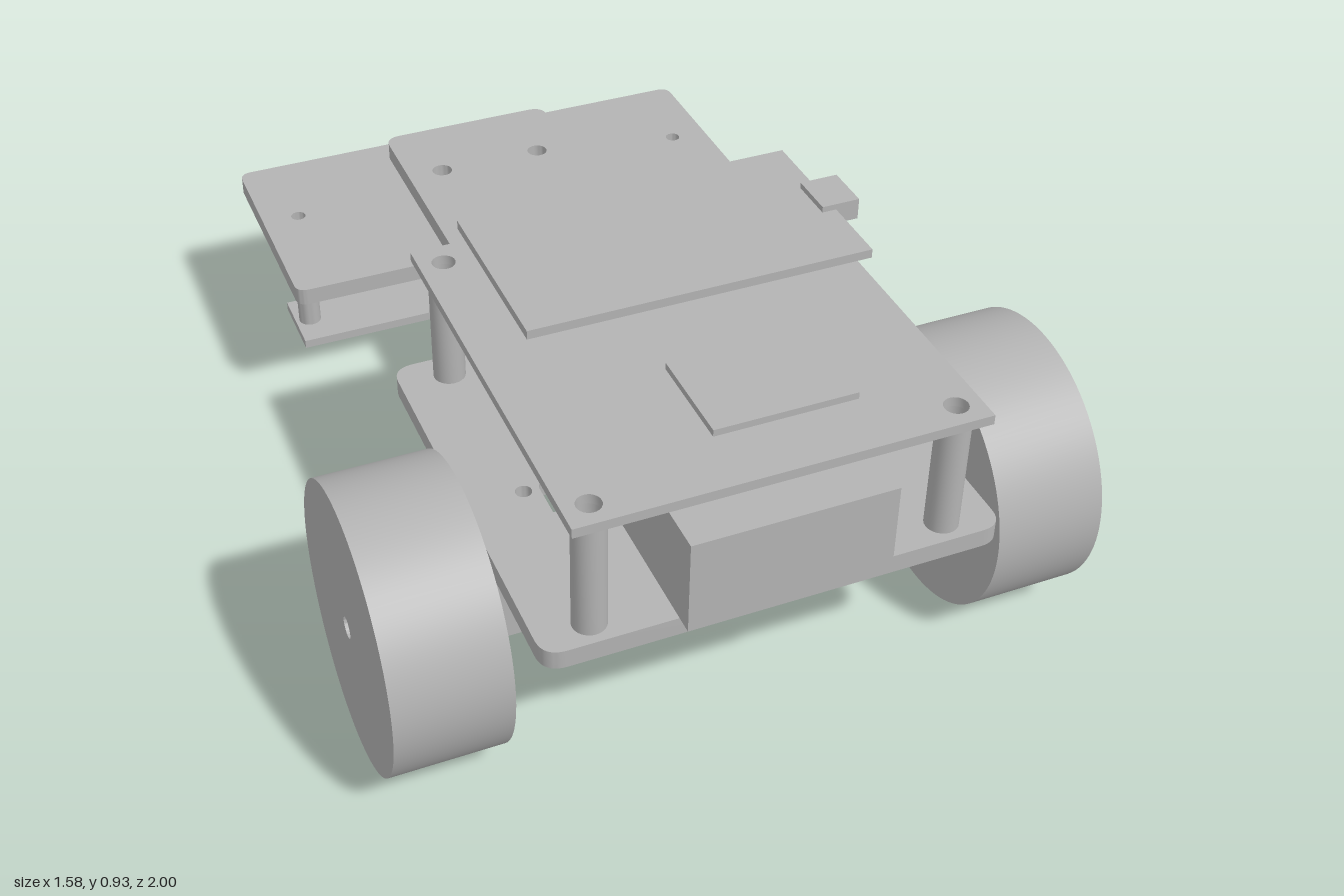
import * as THREE from 'three';
import { toCreasedNormals } from 'three/addons/utils/BufferGeometryUtils.js';

const grey = new THREE.MeshStandardMaterial({ color: 0xb3b3b3 });
grey.name = 'plain grey';

export function createModel() {
  const model = new THREE.Group();
  model.name = 'wheeledRobot';

  const add = (name, geometry) => {
    const mesh = new THREE.Mesh(geometry, grey);
    mesh.name = name;
    model.add(mesh);
    return mesh;
  };

  // Box given by its limits on each axis
  const box = (name, x0, x1, y0, y1, z0, z1) =>
    add(name, new THREE.BoxGeometry(x1 - x0, y1 - y0, z1 - z0)
      .translate((x0 + x1) / 2, (y0 + y1) / 2, (z0 + z1) / 2));

  const circle = (x, z, r) => new THREE.Path().absarc(x, -z, r, 0, Math.PI * 2, true);

  // Slot running along z
  const slot = (x, z, half, r) => {
    const p = new THREE.Path();
    p.absarc(x, -z + half, r, 0, Math.PI, false);
    p.absarc(x, -z - half, r, Math.PI, Math.PI * 2, false);
    p.closePath();
    return p;
  };

  // Outline with rounded corners from [x, z, radius] points
  const outline = (corners) => {
    const s = new THREE.Shape();
    const n = corners.length;
    corners.forEach(([x, z, r], i) => {
      const here = new THREE.Vector2(x, -z);
      const toward = ([px, pz]) => new THREE.Vector2(px, -pz).sub(here).setLength(r).add(here);
      const a = r ? toward(corners[(i + n - 1) % n]) : here;
      const b = r ? toward(corners[(i + 1) % n]) : here;
      if (i === 0) s.moveTo(a.x, a.y); else s.lineTo(a.x, a.y);
      if (r) s.quadraticCurveTo(here.x, here.y, b.x, b.y);
    });
    s.closePath();
    return s;
  };

  const extrude = (shape, depth, curveSegments = 12) =>
    new THREE.ExtrudeGeometry(shape, { depth, bevelEnabled: false, curveSegments });

  // Horizontal plate between two heights
  const plate = (name, shape, y0, y1, holes = []) => {
    shape.holes.push(...holes);
    const g = extrude(shape, y1 - y0).rotateX(-Math.PI / 2).translate(0, y0, 0);
    return add(name, toCreasedNormals(g, 0.6));
  };

  // Hollow upright spacer
  const spacer = (name, x, z, y0, y1, r, bore) =>
    plate(name, new THREE.Shape().absarc(x, -z, r, 0, Math.PI * 2, false), y0, y1, [circle(x, z, bore)]);

  const posts = [[-0.385, 0.065], [0.385, 0.065], [-0.385, 0.905], [0.385, 0.905]];
  const postHoles = () => posts.map(([x, z]) => circle(x, z, 0.026));
  const tongueHoles = () => [-1, 1].map((s) => circle(s * 0.13, -0.755, 0.025));

  // Chassis plate with its long tongue
  const chassisHoles = [...postHoles(), ...tongueHoles()];
  for (const s of [-1, 1]) {
    chassisHoles.push(
      slot(s * 0.31, 0.55, 0.045, 0.026),
      circle(s * 0.24, 0.33, 0.035),
      circle(s * 0.31, 0.43, 0.018),
      circle(s * 0.37, 0.5, 0.018),
      circle(s * 0.31, 0.72, 0.018));
  }
  plate('chassisPlate', outline([
    [-0.5, 0.96, 0.05], [0.5, 0.96, 0.05], [0.5, 0, 0.05], [0.22, 0, 0],
    [0.22, -0.96, 0.04], [-0.22, -0.96, 0.04], [-0.22, 0, 0], [-0.5, 0, 0.05],
  ]), 0.417, 0.46, chassisHoles);

  // Cross plate under the tongue
  plate('crossPlate', outline([
    [-0.605, -0.43, 0.03], [0.605, -0.43, 0.03], [0.605, -1, 0.03], [-0.605, -1, 0.03],
  ]), 0.374, 0.416, [...tongueHoles(), circle(-0.515, -0.752, 0.018), circle(0.515, -0.752, 0.018)]);

  // Upper deck on four spacers
  plate('upperDeck', outline([
    [-0.44, 0.96, 0], [0.44, 0.96, 0], [0.44, 0.003, 0], [-0.44, 0.003, 0],
  ]), 0.74, 0.762, postHoles());
  posts.forEach(([x, z]) => spacer('deckSpacer', x, z, 0.46, 0.74, 0.036, 0.026));

  // Battery and floating circuit boards
  box('battery', -0.22, 0.22, 0.461, 0.68, 0.19, 1);
  box('controllerBoard', -0.375, 0.372, 0.895, 0.915, 0.145, 0.56);
  box('controllerSocket', 0.34, 0.425, 0.88, 0.928, 0.297, 0.4);
  box('radioBoard', -0.15, 0.15, 0.867, 0.882, 0.712, 0.93);

  // Wheels, motors and sensor spacers
  for (const s of [-1, 1]) {
    const disc = new THREE.Shape().absarc(0, 0, 0.31, 0, Math.PI * 2, false);
    disc.holes.push(circle(0, 0, 0.024));
    const wheel = extrude(disc, 0.25, 48).translate(0, 0, -0.125)
      .rotateY(Math.PI / 2).translate(s * 0.663, 0.31, 0.595);
    add('wheel', toCreasedNormals(wheel, 0.6));
    box('motor', s * 0.333 - 0.183, s * 0.333 + 0.183, 0.227, 0.4, 0.52, 0.66);
    spacer('sensorSpacer', s * 0.512, -0.752, 0.095, 0.374, 0.028, 0.018);
  }

  // Line sensor bar with eight sensors below
  box('sensorBoard', -0.55, 0.55, 0.073, 0.095, -0.843, -0.66);
  for (let i = 0; i < 8; i++) {
    const x = (i - 3.5) * 0.141;
    box('lineSensor', x - 0.03, x + 0.03, 0.05, 0.073, -0.83, -0.785);
  }

  // Ball caster
  add('casterMount', new THREE.CylinderGeometry(0.103, 0.103, 0.104, 40).translate(0, 0.322, -0.53));
  add('casterRing', new THREE.CylinderGeometry(0.11, 0.11, 0.042, 40).translate(0, 0.209, -0.53));
  add('casterBall', new THREE.SphereGeometry(0.096, 40, 24).translate(0, 0.096, -0.53));

  return model;
}
